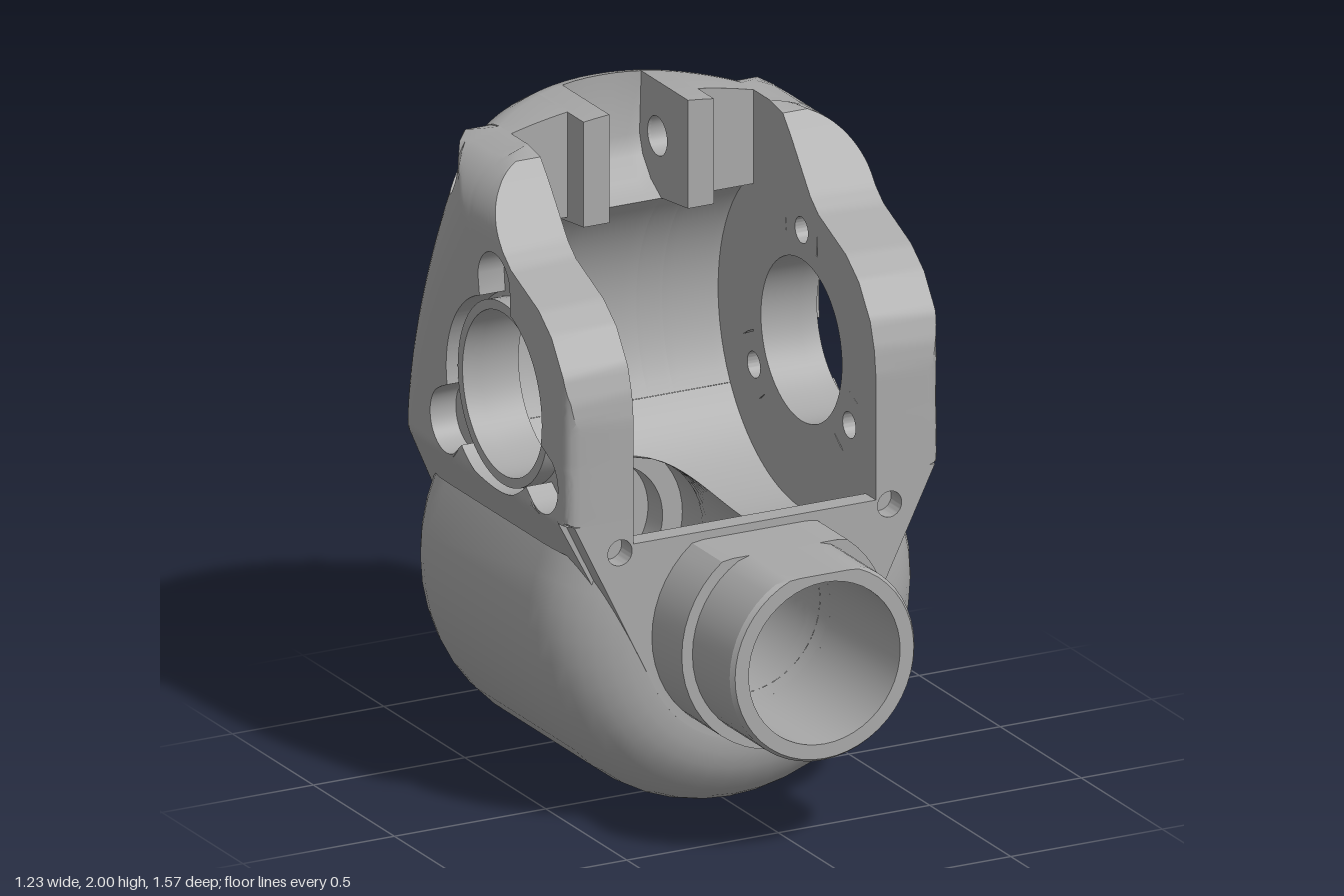
import * as THREE from 'three';
import { toCreasedNormals } from 'three/addons/utils/BufferGeometryUtils.js';

const metal = new THREE.MeshStandardMaterial({ color: 0xa8a8a8, side: THREE.DoubleSide });
metal.name = 'plain grey metal';

const AXIS_Y = 0.62;                       // axle bore height
const BORE = { z: -0.105, y: 1.27 };       // side bore centre
const PIN = { z: -0.49, y: 1.825, r: 0.06 }; // hinge pin hole
const CAVITY_R = 0.52, INNER = 0.4;
const LOBES = [90, -30, 210].map((d) => d * Math.PI / 180);
const clamp = THREE.MathUtils.clamp;

function part(name, geo, crease = 0.55) {
  const mesh = new THREE.Mesh(toCreasedNormals(geo, crease), metal);
  mesh.name = name;
  return mesh;
}

// Surface through rows of [x, y, z] points
function grid(rows, keep = () => true) {
  const n = rows[0].length, index = [];
  for (let i = 0; i < rows.length - 1; i++) {
    for (let j = 0; j < n - 1; j++) {
      if (!keep([rows[i][j], rows[i + 1][j], rows[i][j + 1], rows[i + 1][j + 1]])) continue;
      const a = i * n + j, b = a + n;
      index.push(a, b, a + 1, b, b + 1, a + 1);
    }
  }
  const geo = new THREE.BufferGeometry();
  geo.setAttribute('position', new THREE.Float32BufferAttribute(rows.flat(2), 3));
  geo.setIndex(index);
  return geo;
}

// Turned part about the axle, points are [radius, z]; angle 0 points down
function turned(points, start = 0, sweep = Math.PI * 2, segs = 48) {
  const geo = new THREE.LatheGeometry(points.map((p) => new THREE.Vector2(p[0], p[1])), segs, start, sweep);
  return geo.rotateX(Math.PI / 2).translate(0, AXIS_Y, 0);
}

const circle = (x, y, r) => new THREE.Path().absarc(x, y, r, 0, Math.PI * 2, true);
const extrude = (shape, depth, steps = 1) =>
  new THREE.ExtrudeGeometry(shape, { depth, steps, bevelEnabled: false, curveSegments: 32 });
// Extrude a (-z, y) shape along x
const extrudeX = (shape, x0, x1, steps) =>
  extrude(shape, x1 - x0, steps).rotateY(Math.PI / 2).translate(x0, 0, 0);

// Plan outline at a height: half width x, and the back corner radii a (in x) and b (in z)
function plan(y) {
  const k = clamp((y - 1) / 0.85, 0, 1) ** 1.7, v = clamp((y - AXIS_Y) / 0.38, 0, 1);
  return { x: 0.615 - 0.53 * Math.max(0, 1 - y), a: 0.02 + 0.16 * v + 0.42 * k, b: 0.02 + 0.12 * v + 0.41 * k };
}

// Outer half width of the housing: tapered below, arched on top, rounded front and back
function halfWidth(y, z) {
  const { x, a, b } = plan(y);
  const back = clamp((-0.75 + b - z) / b, 0, 1);
  const front = clamp((z - 0.315) / 0.04, 0, 1);
  const arch = y > 1.75 ? INNER + 0.215 * Math.sqrt(Math.max(0, 1 - ((y - 1.75) / 0.2) ** 2)) : x;
  const side = x - a * (1 - Math.sqrt(1 - back * back)) - 0.04 * (1 - Math.sqrt(1 - front * front));
  return Math.max(Math.min(arch, side), INNER);
}

// Move a rear profile point forward to follow the rounded back
function followBack(x, y, z) {
  if (z > -0.7 && !(y > 1.9 && z < -0.55)) return z;
  const p = plan(y), t = clamp((x - p.x + p.a) / p.a, 0, 1);
  return z + p.b * (1 - Math.sqrt(1 - t * t));
}

// Three-lobed pocket outline as a radius per angle
function pocketRadius(t) {
  let r = 0.295;
  for (const l of LOBES) {
    const s = 0.34 * Math.sin(t - l), c = 0.34 * Math.cos(t - l);
    if (c > 0 && Math.abs(s) < 0.1) r = Math.max(r, c + Math.sqrt(0.01 - s * s));
  }
  return r;
}

// Side wall: rings of cross-sections between the pocket and the wall outline
function sideWall() {
  const profile = [[0.29, 0.62], [0.29, 1], [0.355, 1], [0.355, 1.3], [0.345, 1.38], [0.32, 1.46], [0.25, 1.56],
    [0.17, 1.62], [0, 1.69], [-0.05, 1.73], [-0.17, 1.88], [-0.22, 1.935], [-0.3, 1.95], [-0.6, 1.95],
    [-0.66, 1.935], [-0.72, 1.88]];
  for (let i = 0; i <= 8; i++) profile.push([-0.75, 1.8 - 0.1 * i]);
  profile.push([-0.75, 0.62]);
  const outline = profile.map(([z, y]) => [followBack(INNER, y, z), y]);
  const M = 18, rows = [];
  const place = (z, y, outer) => {
    const dz = z - PIN.z, dy = y - PIN.y, d = Math.hypot(dz, dy);
    if (d > 0.035 && d < 0.08) { z = PIN.z + dz * PIN.r / d; y = PIN.y + dy * PIN.r / d; }
    return [outer ? halfWidth(y, z) : INNER, y, z];
  };
  outline.forEach((p, i) => {
    const q = outline[(i + 1) % outline.length];
    const n = Math.ceil(Math.hypot(q[0] - p[0], q[1] - p[1]) / 0.022);
    for (let s = 0; s < n; s++) {
      const z = p[0] + (q[0] - p[0]) * s / n, y = p[1] + (q[1] - p[1]) * s / n;
      const t = Math.atan2(y - BORE.y, z - BORE.z), r = pocketRadius(t);
      const z0 = BORE.z + r * Math.cos(t), y0 = BORE.y + r * Math.sin(t), row = [];
      for (let j = 0; j <= M; j++) row.push(place(z0 + (z - z0) * j / M, y0 + (y - y0) * j / M, false));
      for (let j = M; j >= 0; j--) row.push(place(z0 + (z - z0) * j / M, y0 + (y - y0) * j / M, true));
      row.push(row[0]);
      rows.push(row);
    }
  });
  rows.push(rows[0]);
  return grid(rows, (c) => {
    const z = c.reduce((s, p) => s + p[2], 0) / 4, y = c.reduce((s, p) => s + p[1], 0) / 4;
    return Math.hypot(z - PIN.z, y - PIN.y) > PIN.r * 0.93;
  });
}

// Flange, bearing seat and pin sleeve of one side
function side(name, sign) {
  const g = new THREE.Group();
  g.name = name;
  g.add(part('sideWall', sideWall()));

  const seat = new THREE.Shape();
  for (let i = 0; i < 144; i++) {
    const t = i / 144 * Math.PI * 2, r = pocketRadius(t) + 0.008;
    seat[i ? 'lineTo' : 'moveTo'](-BORE.z - r * Math.cos(t), BORE.y + r * Math.sin(t));
  }
  seat.holes.push(circle(-BORE.z, BORE.y, 0.25));
  for (const l of LOBES) seat.holes.push(circle(-BORE.z - 0.34 * Math.cos(l), BORE.y + 0.34 * Math.sin(l), 0.04));
  g.add(part('bearingSeat', extrudeX(seat, INNER, 0.53)));

  const lip = new THREE.Shape().absarc(-BORE.z, BORE.y, 0.28, 0, Math.PI * 2);
  lip.holes.push(circle(-BORE.z, BORE.y, 0.25));
  g.add(part('bearingLip', extrudeX(lip, 0.52, 0.585)));

  const sleeve = new THREE.CylinderGeometry(PIN.r, PIN.r, 0.5, 32, 1, true).rotateZ(Math.PI / 2)
    .translate(0.39, PIN.y, PIN.z);
  const p = sleeve.attributes.position;
  for (let i = 0; i < p.count; i++) p.setX(i, Math.min(p.getX(i), halfWidth(p.getY(i), p.getZ(i))));
  g.add(part('pinSleeve', sleeve));

  g.add(part('pocketBack', backSlab(0.215, INNER, [[-0.4, 1.66], [-0.4, 2]], true)));
  g.add(part('hingeLug', backSlab(0.13, 0.215, [[-0.3, 1.66], [-0.3, 2]], true)));
  g.scale.x = sign;
  return g;
}

// Slice of the rear wall with a round cavity face and domed top
function backSlab(x0, x1, frontPoints, pinHole) {
  const pts = [];
  for (let i = 0; i <= 16; i++) {
    const y = 1 + 0.64 * i / 16;
    pts.push([-0.1 - Math.sqrt(CAVITY_R ** 2 - (y - BORE.y) ** 2), y]);
  }
  pts.push(...frontPoints, [-0.6, 2], [-0.64, 1.99], [-0.68, 1.965], [-0.72, 1.91], [-0.74, 1.86]);
  for (let i = 0; i <= 8; i++) pts.push([-0.75, 1.8 - 0.1 * i]);
  const shape = new THREE.Shape(pts.map(([z, y]) => new THREE.Vector2(-z, y)));
  if (pinHole) shape.holes.push(circle(-PIN.z, PIN.y, PIN.r));
  const geo = extrudeX(shape, x0, x1, 6), p = geo.attributes.position;
  for (let i = 0; i < p.count; i++) {
    const x = p.getX(i), y = p.getY(i);
    p.setZ(i, followBack(Math.abs(x), y, p.getZ(i)));
    p.setY(i, y - 0.05 * (x / INNER) ** 2 * clamp((y - 1.88) / 0.12, 0, 1));
  }
  return geo;
}

// Tapered end plate with a round bottom
function endPlate(width, holeR, notch) {
  const s = new THREE.Shape().moveTo(width, 1).lineTo(0.323, 0.448);
  s.absarc(0, AXIS_Y, 0.366, -0.488, -Math.PI + 0.488, true);
  s.lineTo(-width, 1);
  if (notch) {
    s.lineTo(-INNER, 1).lineTo(-INNER, 0.92).lineTo(INNER, 0.92).lineTo(INNER, 1);
    for (const x of [-0.445, 0.445]) s.holes.push(circle(x, 0.9, 0.04));
  }
  s.holes.push(circle(0, AXIS_Y, holeR));
  return s;
}

// Curved cavity floor opening into the axle bore
function cradle() {
  const rows = [], r = 0.25;
  for (let i = 0; i <= 48; i++) {
    const z = 0.29 - 0.834 * i / 48;
    const y = Math.min(z > 0.2 ? 0.92 : 2, BORE.y - Math.sqrt(CAVITY_R ** 2 - (z + 0.1) ** 2));
    const h = Math.min(y - AXIS_Y, r), w = Math.sqrt(r * r - h * h), a = Math.atan2(h, w);
    const row = [[INNER, y, z], [w, y, z]];
    for (let j = 0; j <= 36; j++) {
      const t = a - (Math.PI + 2 * a) * j / 36;
      row.push([r * Math.cos(t), AXIS_Y + r * Math.sin(t), z]);
    }
    row.push([-w, y, z], [-INNER, y, z]);
    rows.push(row);
  }
  return grid(rows);
}

export function createModel() {
  const model = new THREE.Group();
  model.name = 'jointHousing';

  model.add(side('leftSide', 1), side('rightSide', -1));
  model.add(part('hingeSlot', backSlab(-0.13, 0.13, [[-0.48, 1.65], [-0.53, 1.68], [-0.58, 1.74], [-0.6, 1.8]], false)));
  model.add(part('cavityFloor', cradle()));
  model.add(part('frontPlate', extrude(endPlate(0.595, 0.25, true), 0.065).translate(0, 0, 0.29)));
  model.add(part('backPlate', extrude(endPlate(0.435, 0.135, false), 0.07).translate(0, 0, -0.75)));

  // Round lower drum with filleted ends
  const drum = [[0.2, -0.749]];
  for (const [z, a0] of [[-0.5, -Math.PI / 2], [0.105, 0]]) {
    for (let i = 0; i <= 8; i++) {
      const t = a0 + i / 8 * Math.PI / 2;
      drum.push([0.365 + 0.25 * Math.cos(t), z + 0.25 * Math.sin(t)]);
    }
  }
  drum.push([0.3, 0.353]);
  const half = 114 * Math.PI / 180;
  model.add(part('lowerDrum', turned(drum, -half, half * 2, 28)));

  // Stepped front tube with a flat on top
  const tube = turned([[0.34, 0.34], [0.34, 0.54], [0.305, 0.54], [0.305, 0.77], [0.295, 0.785], [0.25, 0.785], [0.25, 0.34]]);
  const p = tube.attributes.position;
  for (let i = 0; i < p.count; i++) p.setY(i, Math.min(p.getY(i), 0.895));
  model.add(part('frontTube', tube));

  // Stepped rear bore and raised ring
  model.add(part('rearBore', turned([[0.25, -0.54], [0.25, -0.56], [0.185, -0.56], [0.185, -0.65],
    [0.135, -0.65], [0.135, -0.785], [0.33, -0.785], [0.33, -0.74]])));
  return model;
}
